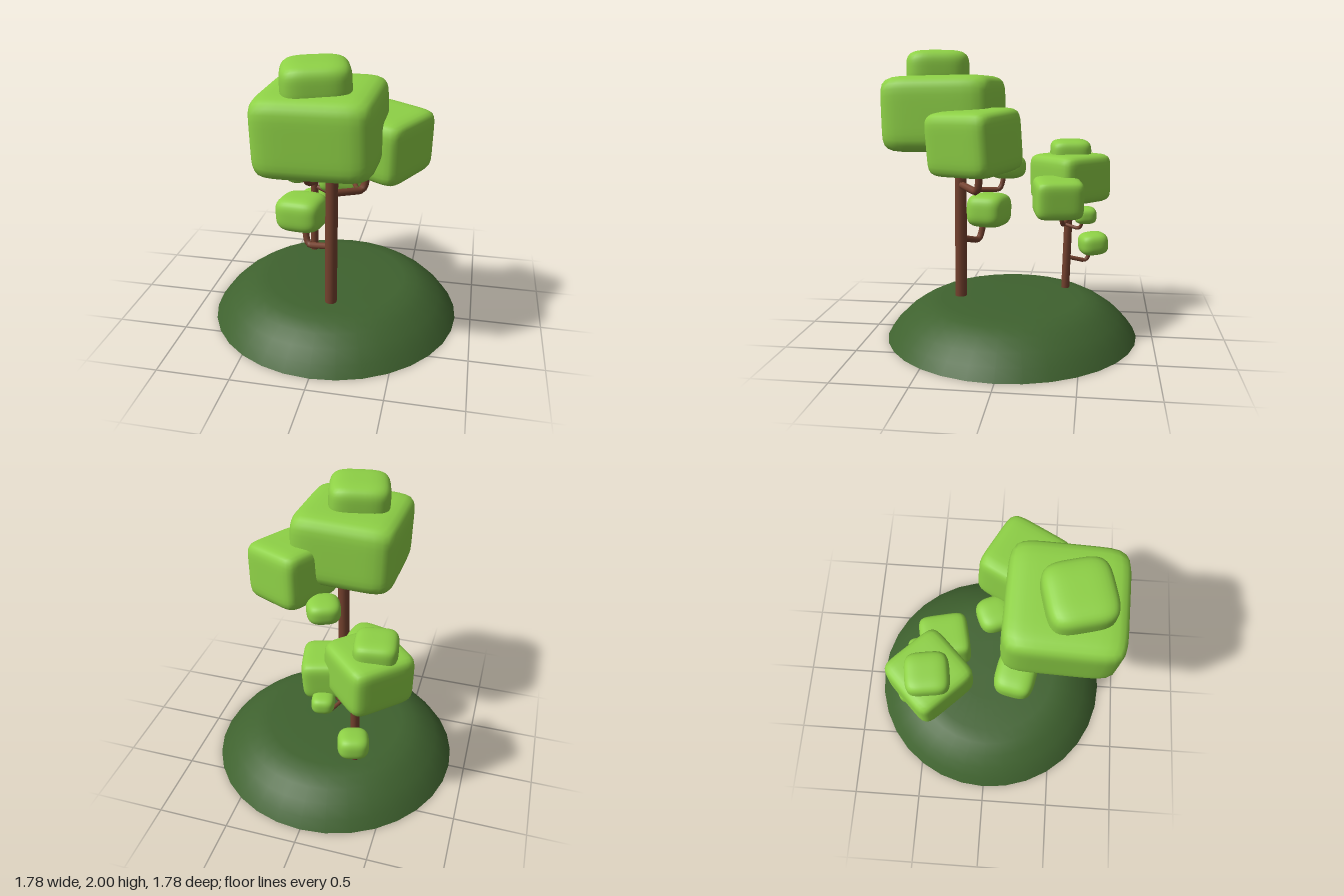
import * as THREE from 'three';
import { mergeVertices } from 'three/addons/utils/BufferGeometryUtils.js';

const mat = (color) => new THREE.MeshStandardMaterial({ color });
const leaf = mat(0x8ed146), wood = mat(0x74412e), grass = mat(0x3f622f);
const V = (p) => new THREE.Vector3(...p);

function add(parent, name, geometry, material) {
  const mesh = new THREE.Mesh(geometry, material);
  mesh.name = name;
  parent.add(mesh);
  return mesh;
}

// Soft cube of leaves: a box pushed onto a superellipsoid; higher power = boxier
function foliage(parent, name, center, half, power, rotation = [0, 0, 0]) {
  let geo = new THREE.BoxGeometry(2, 2, 2, 12, 12, 12);
  geo.deleteAttribute('normal');
  geo.deleteAttribute('uv');
  geo = mergeVertices(geo);
  const pos = geo.attributes.position;
  const v = new THREE.Vector3();
  for (let i = 0; i < pos.count; i++) {
    v.fromBufferAttribute(pos, i);
    const n = Math.abs(v.x) ** power + Math.abs(v.y) ** power + Math.abs(v.z) ** power;
    v.multiplyScalar(n ** (-1 / power)).multiply(V(half));
    pos.setXYZ(i, v.x, v.y, v.z);
  }
  geo.computeVertexNormals();
  const mesh = add(parent, name, geo, leaf);
  mesh.position.set(...center);
  mesh.rotation.set(...rotation);
}

// Slightly leaning, tapered trunk between two points
function trunk(parent, from, to, rBottom, rTop) {
  const a = V(from), dir = V(to).sub(a);
  const mesh = add(parent, 'trunk', new THREE.CylinderGeometry(rTop, rBottom, dir.length(), 10), wood);
  mesh.position.copy(a).addScaledVector(dir, 0.5);
  mesh.quaternion.setFromUnitVectors(new THREE.Vector3(0, 1, 0), dir.normalize());
}

// Branch that runs outward and bends up at an elbow
function branch(parent, from, elbow, to, radius) {
  const a = V(from), e = V(elbow), c = V(to);
  const p = a.clone().lerp(e, 0.8), q = e.clone().lerp(c, 0.3);
  const path = new THREE.CurvePath();
  path.add(new THREE.LineCurve3(a, p));
  path.add(new THREE.QuadraticBezierCurve3(p, e, q));
  path.add(new THREE.LineCurve3(q, c));
  add(parent, 'branch', new THREE.TubeGeometry(path, 16, radius, 8), wood);
}

export function createModel() {
  const model = new THREE.Group();
  model.name = 'treeIsland';

  // Grassy mound with a flat underside
  const ground = new THREE.Group();
  ground.name = 'ground';
  model.add(ground);
  const profile = [[0.888, 0], [0.835, 0.075], [0.765, 0.145], [0.68, 0.205], [0.6, 0.245], [0.5, 0.265], [0.25, 0.267], [0, 0.267]];
  add(ground, 'mound', new THREE.LatheGeometry(profile.map((p) => new THREE.Vector2(...p)), 32), grass);
  add(ground, 'underside', new THREE.CircleGeometry(0.888, 32).rotateX(Math.PI / 2), grass);

  // Tall tree at the front
  const tall = new THREE.Group();
  tall.name = 'tallTree';
  model.add(tall);
  trunk(tall, [0.037, 0.24, 0.366], [0.047, 1.45, 0.353], 0.042, 0.042);
  branch(tall, [0.04, 0.69, 0.36], [-0.15, 0.63, 0.26], [-0.18, 0.82, 0.22], 0.023);
  branch(tall, [0.05, 1.08, 0.36], [0.235, 1.05, 0.2], [0.26, 1.3, 0.185], 0.026);
  branch(tall, [0.045, 1.23, 0.36], [-0.08, 1.2, 0.53], [-0.1, 1.42, 0.59], 0.024);
  branch(tall, [0.19, 1.07, 0.23], [0.13, 1.06, 0.06], [0.11, 1.22, 0.03], 0.017);
  foliage(tall, 'mainCanopy', [0.007, 1.575, 0.46], [0.375, 0.255, 0.38], 7, [0.02, -0.03, 0.025]);
  foliage(tall, 'topCanopy', [-0.018, 1.865, 0.52], [0.215, 0.135, 0.215], 4, [0, 0.25, 0.03]);
  foliage(tall, 'sideCanopy', [0.37, 1.41, 0.2], [0.235, 0.208, 0.25], 7, [0.04, -0.48, -0.04]);
  foliage(tall, 'smallRearFoliage', [0.098, 1.22, 0.025], [0.12, 0.082, 0.125], 3, [0, 0.4, 0]);
  foliage(tall, 'lowFoliage', [-0.2, 0.852, 0.195], [0.168, 0.123, 0.145], 3.5, [0, -0.2, 0.06]);

  // Short tree at the back
  const short = new THREE.Group();
  short.name = 'shortTree';
  model.add(short);
  trunk(short, [-0.248, 0.24, -0.37], [-0.245, 1.05, -0.395], 0.03, 0.029);
  branch(short, [-0.248, 0.5, -0.38], [-0.28, 0.465, -0.525], [-0.285, 0.6, -0.565], 0.016);
  branch(short, [-0.246, 0.8, -0.39], [-0.11, 0.765, -0.35], [-0.07, 0.93, -0.335], 0.017);
  branch(short, [-0.246, 0.87, -0.39], [-0.4, 0.83, -0.42], [-0.43, 1.0, -0.43], 0.017);
  branch(short, [-0.15, 0.77, -0.36], [-0.09, 0.75, -0.475], [-0.065, 0.86, -0.51], 0.013);
  foliage(short, 'mainCanopy', [-0.33, 1.085, -0.392], [0.228, 0.178, 0.23], 7, [0, 0.78, 0.02]);
  foliage(short, 'topCanopy', [-0.375, 1.265, -0.39], [0.142, 0.097, 0.147], 4, [0, 0.15, 0]);
  foliage(short, 'sideCanopy', [-0.032, 0.985, -0.32], [0.158, 0.138, 0.17], 6, [0, 0.22, -0.06]);
  foliage(short, 'smallRearFoliage', [-0.062, 0.858, -0.512], [0.076, 0.06, 0.078], 3, [0, 0.2, 0]);
  foliage(short, 'lowFoliage', [-0.285, 0.6, -0.57], [0.105, 0.083, 0.106], 3, [0.08, 0.3, 0]);

  return model;
}
